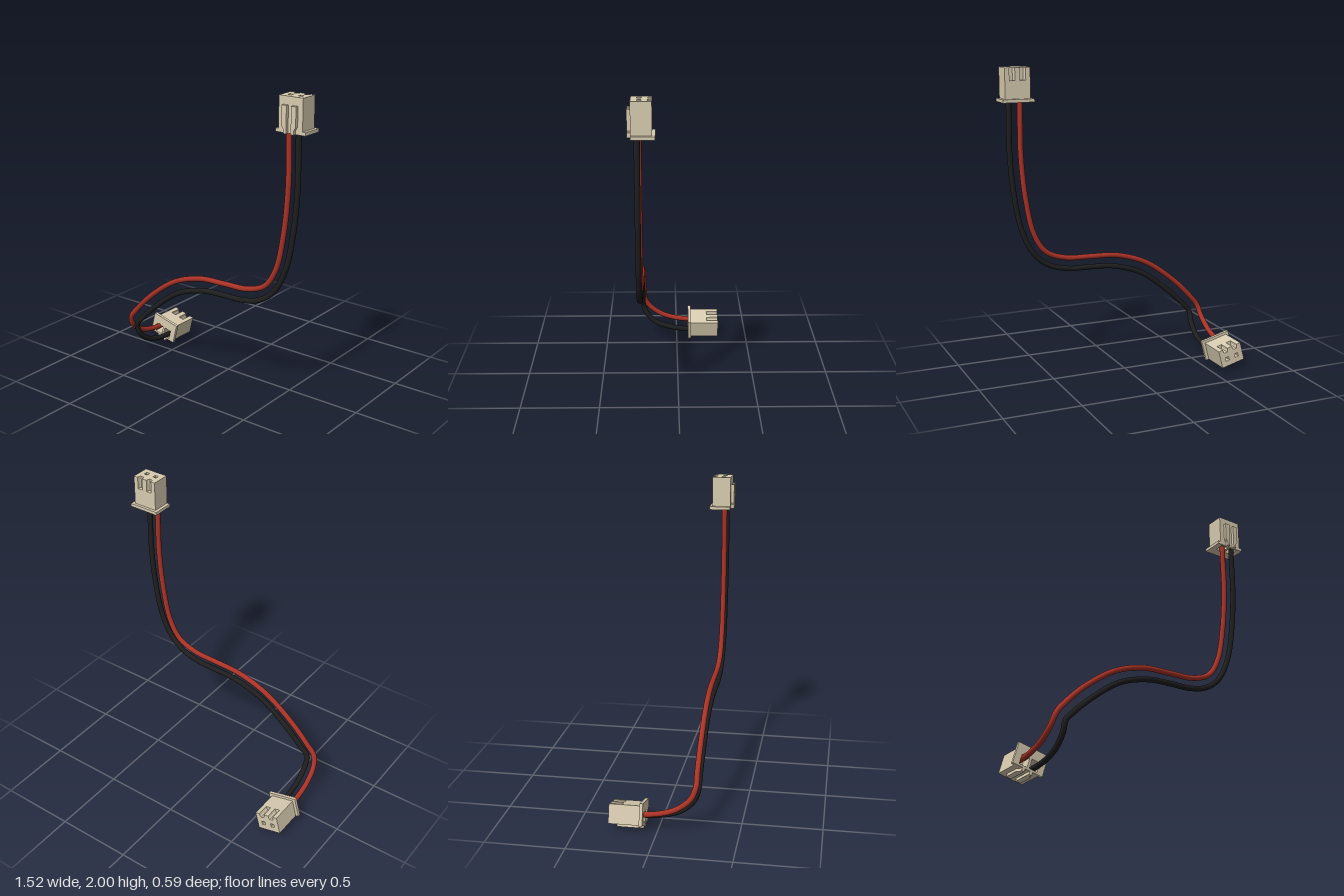
import * as THREE from 'three';

const material = (color) => new THREE.MeshStandardMaterial({ color });
const PITCH = 0.035; // half the distance between the two contacts

function rectPath(x0, y0, x1, y1, Type = THREE.Path) {
  const p = new Type();
  p.moveTo(x0, y0);
  p.lineTo(x1, y0);
  p.lineTo(x1, y1);
  p.lineTo(x0, y1);
  p.closePath();
  return p;
}

// Extrude a plan (x, -z) upward from y0 to y1
function slab(name, shape, y0, y1, mat) {
  const g = new THREE.ExtrudeGeometry(shape, { depth: y1 - y0, bevelEnabled: false });
  g.rotateX(-Math.PI / 2);
  g.translate(0, y0, 0);
  const mesh = new THREE.Mesh(g, mat);
  mesh.name = name;
  return mesh;
}

function addHoles(shape, halfWidth, y0, y1) {
  for (const s of [-1, 1]) shape.holes.push(rectPath(s * PITCH - halfWidth, y0, s * PITCH + halfWidth, y1));
  return shape;
}

// Two-way plug: tip points to +y, latch ribs face +z
function createConnector(name, mat) {
  const group = new THREE.Group();
  group.name = name;
  const W = 0.0825, F = -0.07, B = 0.052;

  // flange and hollow wire entry
  const flange = rectPath(-0.103, -0.07, 0.103, 0.07, THREE.Shape);
  group.add(slab('flange', addHoles(flange, 0.027, -0.057, 0.005), 0, 0.021, mat));
  const entry = rectPath(-W, F, W, B, THREE.Shape);
  group.add(slab('wireEntry', addHoles(entry, 0.027, -0.057, 0.005), 0.021, 0.08, mat));

  // solid middle
  group.add(slab('housing', rectPath(-W, F, W, B, THREE.Shape), 0.08, 0.135, mat));

  // tip with two tapered slots at the back and square contact holes
  const tip = new THREE.Shape();
  tip.moveTo(-W, F);
  tip.lineTo(W, F);
  tip.lineTo(W, B);
  for (const c of [PITCH, -PITCH]) {
    tip.lineTo(c + 0.018, B);
    tip.lineTo(c + 0.016, B - 0.016);
    tip.lineTo(c + 0.010, B - 0.026);
    tip.lineTo(c - 0.010, B - 0.026);
    tip.lineTo(c - 0.016, B - 0.016);
    tip.lineTo(c - 0.018, B);
  }
  tip.lineTo(-W, B);
  tip.closePath();
  group.add(slab('slottedTip', addHoles(tip, 0.013, -0.034, -0.008), 0.135, 0.215, mat));

  // mirrored latch ribs
  for (const s of [-1, 1]) {
    const pts = [[0.016, 0], [0.036, 0], [0.036, 0.025], [0.049, 0.045], [0.049, 0.165], [0.016, 0.165]]
      .map(([x, y]) => new THREE.Vector2(s * x, y));
    const g = new THREE.ExtrudeGeometry(new THREE.Shape(pts), { depth: 0.022, bevelEnabled: false });
    g.translate(0, 0, 0.069);
    const rib = new THREE.Mesh(g, mat);
    rib.name = 'latchRib';
    group.add(rib);
  }
  return group;
}

function createWire(name, points, color) {
  const curve = new THREE.CatmullRomCurve3(points.map((p) => new THREE.Vector3(...p)), false, 'centripetal');
  const wire = new THREE.Mesh(new THREE.TubeGeometry(curve, 160, 0.0175, 16), material(color));
  wire.name = name;
  return wire;
}

export function createModel() {
  const model = new THREE.Group();
  model.name = 'wireHarness';
  const plastic = material(0xd8ccb0);

  const upper = createConnector('upperConnector', plastic);
  upper.position.set(0.653, 1.785, 0.205);
  model.add(upper);

  // lower plug lies on its latch side, tip toward the back, slightly rolled
  const lower = createConnector('lowerConnector', plastic);
  lower.rotation.set(-Math.PI / 2, 0, Math.PI - 0.26, 'ZYX');
  lower.position.set(-0.643, 0.105, -0.082);
  model.add(lower);

  const zr = 0.232, zb = 0.24;
  model.add(createWire('redWire', [
    [0.617, 1.865, zr], [0.617, 1.7, zr], [0.617, 1.45, zr], [0.59, 1.156, zr], [0.537, 0.918, zr],
    [0.458, 0.796, zr], [0.325, 0.743, zr], [0.14, 0.733, zr], [-0.045, 0.722, zr], [-0.257, 0.653, zr],
    [-0.468, 0.505, zr], [-0.6, 0.375, zr], [-0.66, 0.3, zr], [-0.678, 0.225, 0.2], [-0.685, 0.155, 0.11],
    [-0.686, 0.122, 0.01], [-0.686, 0.11, -0.08], [-0.686, 0.108, -0.16],
  ], 0xa93226));
  model.add(createWire('blackWire', [
    [0.688, 1.865, zb], [0.688, 1.7, zb], [0.688, 1.45, zb], [0.664, 1.18, zb], [0.616, 0.945, zb],
    [0.537, 0.786, zb], [0.431, 0.7, zb], [0.3, 0.664, zb], [0.14, 0.659, zb], [-0.02, 0.648, zb],
    [-0.23, 0.58, zb], [-0.44, 0.425, zb], [-0.55, 0.32, zb], [-0.602, 0.262, zb], [-0.605, 0.19, 0.215],
    [-0.605, 0.118, 0.14], [-0.605, 0.08, 0.03], [-0.605, 0.067, -0.08], [-0.605, 0.066, -0.16],
  ], 0x1e1e1e));

  return model;
}
